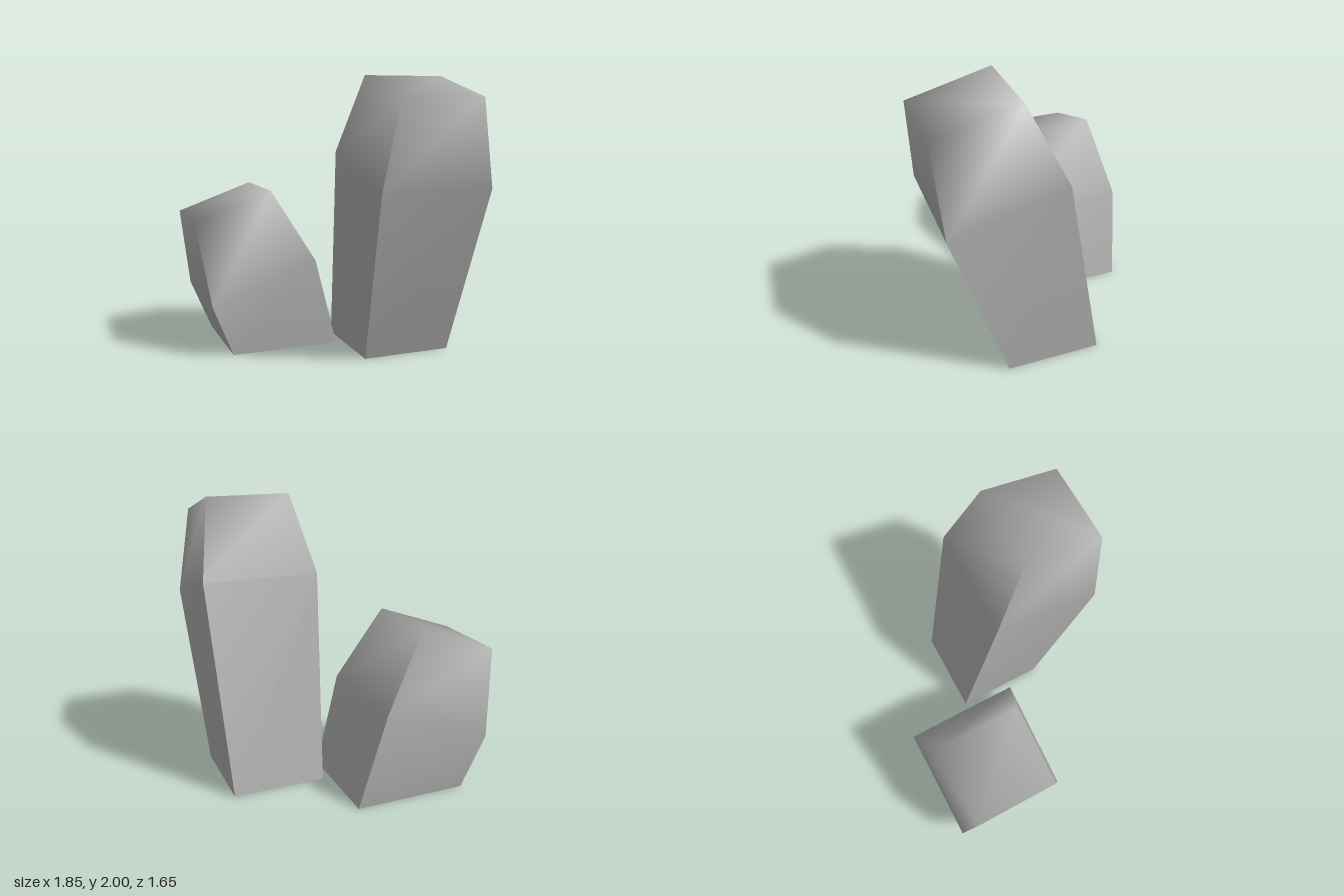
import * as THREE from 'three';

// Each ring: front depth, front height, back depth, back height, half width
function ringCorners([fz, fy, bz, by, w]) {
  return [[-w, fy, fz], [w, fy, fz], [w, by, bz], [-w, by, bz]];
}

// Leaning rock, open underneath: creased lower corners, crown blended smooth
function makeRock(name, rings, material) {
  const [base, waist, crown] = rings.map(ringCorners);
  const positions = crown.flat(); // corners 0-3 are shared by the walls and the top
  const index = [0, 1, 2, 0, 2, 3];
  for (let i = 0; i < 4; i++) {
    const j = (i + 1) % 4;
    const n = positions.length / 3;
    positions.push(...base[i], ...base[j], ...waist[i], ...waist[j]);
    index.push(n, n + 1, n + 3, n, n + 3, n + 2); // lower wall
    index.push(n + 2, n + 3, j, n + 2, j, i); // upper wall
  }
  const geometry = new THREE.BufferGeometry();
  geometry.setAttribute('position', new THREE.Float32BufferAttribute(positions, 3));
  geometry.setIndex(index);
  geometry.computeVertexNormals();
  const mesh = new THREE.Mesh(geometry, material);
  mesh.name = name;
  return mesh;
}

export function createModel() {
  const group = new THREE.Group();
  group.name = 'rocks';
  const stone = new THREE.MeshStandardMaterial({ color: 0xb0b0b0, side: THREE.DoubleSide });
  stone.name = 'grey stone';

  // Tall rock leaning to the front
  const tall = makeRock('tallRock', [
    [0.37, 0, -0.3, 0, 0.33],
    [0.78, 1.24, -0.01, 1.46, 0.41],
    [0.825, 1.85, 0.25, 2.0, 0.3],
  ], stone);
  tall.position.x = 0.51;

  // Short rock behind, turned to lean sideways
  const short = makeRock('shortRock', [
    [0.68, 0, -0.12, 0, 0.37],
    [0.835, 0.38, 0.06, 0.66, 0.415],
    [0.925, 0.98, 0.365, 1.18, 0.3],
  ], stone);
  short.rotation.y = -Math.PI / 2;
  short.position.z = -0.415;

  group.add(tall, short);
  return group;
}
